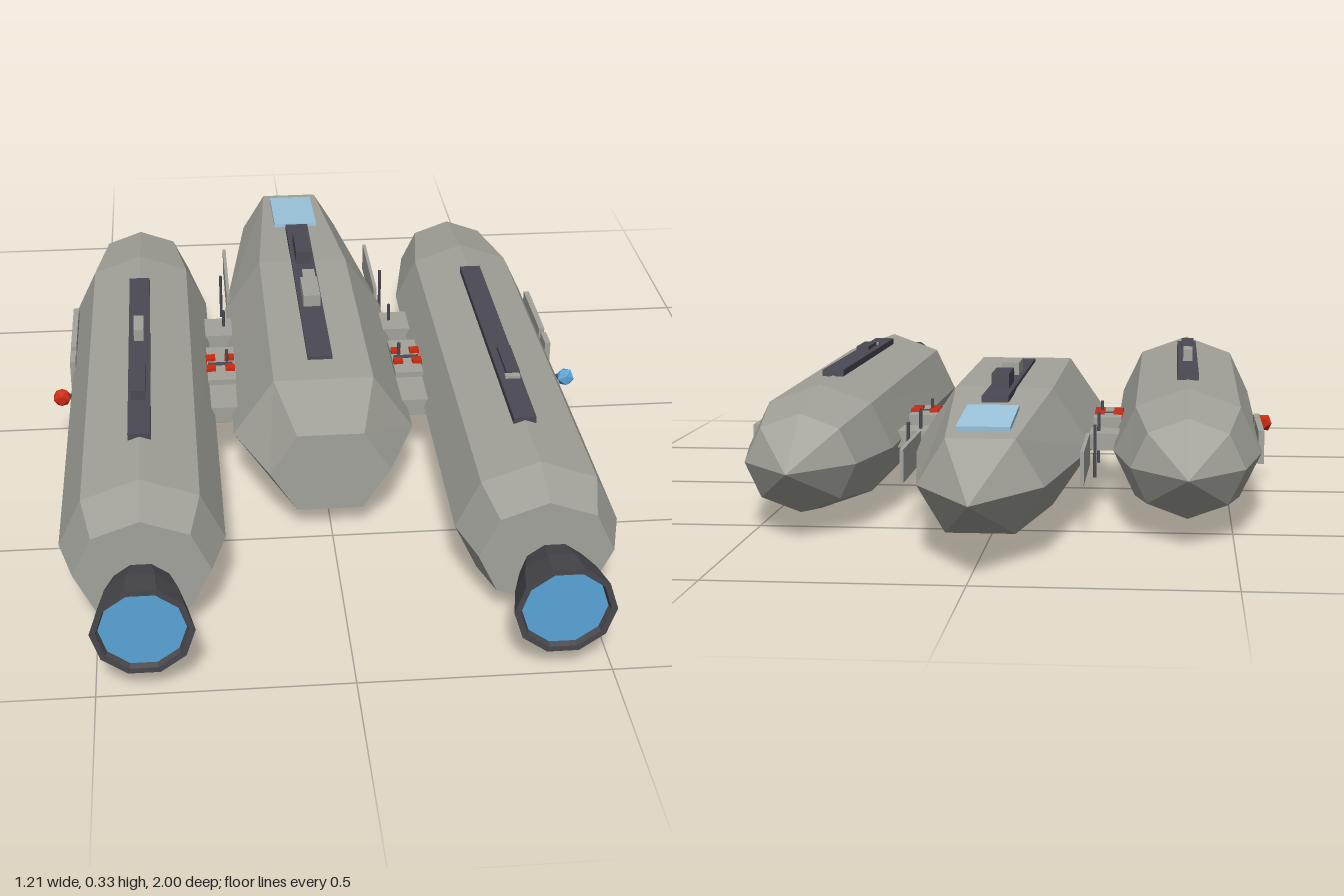
import * as THREE from 'three';

const mat = (name, color) => Object.assign(new THREE.MeshStandardMaterial({ color }), { name });
const MID = 0.15; // height of all hull axes

// Faceted hull: an outline swept through rings of [z, half width, half height], front to back
function hullGeometry(outline, rings) {
  const pos = [], n = outline.length;
  const at = ([z, rx, ry], i) => [outline[i % n][0] * rx, outline[i % n][1] * ry, z];
  for (let i = 0; i < n; i++) {
    pos.push(0, 0, rings[0][0], ...at(rings[0], i), ...at(rings[0], i + 1));
    for (let k = 0; k < rings.length - 1; k++) {
      const a = at(rings[k], i), b = at(rings[k + 1], i);
      const c = at(rings[k + 1], i + 1), d = at(rings[k], i + 1);
      pos.push(...a, ...b, ...d);
      if (rings[k + 1][1] > 0) pos.push(...b, ...c, ...d);
    }
  }
  const g = new THREE.BufferGeometry();
  g.setAttribute('position', new THREE.Float32BufferAttribute(pos, 3));
  g.computeVertexNormals();
  return g;
}

function flat(g) {
  const f = g.index ? g.toNonIndexed() : g;
  f.computeVertexNormals();
  return f;
}

export function createModel() {
  const hull = mat('hullGrey', 0xa3a39b);
  const dark = mat('darkTrim', 0x4b4a54);
  const nozzle = mat('nozzleGrey', 0x48484d);
  const blue = mat('engineBlue', 0x5aa4d8);
  const glass = mat('windowBlue', 0x9cc6de);
  const red = mat('signalRed', 0xcc2a10);

  const root = new THREE.Group();
  root.name = 'spacecraft';

  const add = (parent, name, geo, material, x = 0, y = 0, z = 0) => {
    const m = new THREE.Mesh(geo, material);
    m.name = name;
    m.position.set(x, y, z);
    parent.add(m);
    return m;
  };
  // Box given by its x, y and z ranges
  const box = (parent, name, material, [x0, x1], [y0, y1], [z0, z1]) =>
    add(parent, name, new THREE.BoxGeometry(Math.abs(x1 - x0), y1 - y0, z1 - z0), material,
      (x0 + x1) / 2, (y0 + y1) / 2, (z0 + z1) / 2);

  // Central hull: flat-topped hexagon
  const centre = new THREE.Group();
  centre.name = 'centralHull';
  centre.position.x = -0.003;
  root.add(centre);
  const hex = [[1, 0], [0.55, 1], [-0.55, 1], [-1, 0], [-0.55, -1], [0.55, -1]];
  add(centre, 'hullBody', hullGeometry(hex, [
    [0.475, 0.13, 0.093], [0.3, 0.2, 0.13], [-0.3, 0.195, 0.13], [-0.79, 0.125, 0.093], [-1, 0, 0],
  ]), hull, 0, MID);
  box(centre, 'deckStrip', dark, [-0.028, 0.028], [0.274, 0.288], [-0.5, 0.21]);
  box(centre, 'deckHousing', dark, [-0.018, 0.02], [0.285, 0.32], [-0.38, -0.265]);
  box(centre, 'deckDuct', hull, [-0.008, 0.022], [0.285, 0.298], [-0.215, -0.135]);
  box(centre, 'deckBlock', hull, [-0.018, 0.022], [0.285, 0.316], [-0.135, -0.035]);
  const pane = add(centre, 'cockpitWindow', new THREE.BoxGeometry(0.108, 0.009, 0.205), glass, 0, 0.262, -0.637);
  pane.rotation.x = -0.075;

  // Octagonal pods with engines, identical on both sides
  const oct = Array.from({ length: 8 }, (_, i) => [Math.cos(i * Math.PI / 4), Math.sin(i * Math.PI / 4)]);
  const podGeo = hullGeometry(oct, [
    [0.81, 0.137, 0.12], [0.7, 0.168, 0.147], [-0.34, 0.16, 0.138], [-0.56, 0.118, 0.104], [-0.705, 0, 0],
  ]);
  const nozzleGeo = flat(new THREE.LatheGeometry([
    [0, 0.87], [0.066, 0.87], [0.086, 0.93], [0.1, 1], [0.088, 1], [0.083, 0.985],
  ].map(([r, y]) => new THREE.Vector2(r, y)), 10, Math.PI / 2).rotateX(Math.PI / 2));
  const ballGeo = flat(new THREE.IcosahedronGeometry(0.022, 0));

  for (const s of [1, -1]) {
    const side = s > 0 ? 'left' : 'right';
    const pod = new THREE.Group();
    pod.name = side + 'Pod';
    pod.position.x = s * 0.402 - 0.003;
    root.add(pod);
    add(pod, 'podBody', podGeo, hull, 0, MID);
    add(pod, 'engineNozzle', nozzleGeo, nozzle, 0, MID);
    add(pod, 'engineGlow', new THREE.CircleGeometry(0.084, 10), blue, 0, MID, 0.988);
    box(pod, 'podStrip', dark, [-0.024, 0.024], [0.287, 0.302], [-0.19, 0.535]);

    // Deck equipment differs on each pod
    if (s > 0) {
      box(pod, 'podHousing', dark, [-0.008, 0.022], [0.3, 0.311], [0.235, 0.355]);
      box(pod, 'podVent', hull, [-0.012, 0.02], [0.3, 0.308], [0.355, 0.37]);
    } else {
      box(pod, 'podHousing', dark, [-0.017, 0.014], [0.3, 0.324], [0.27, 0.395]);
      box(pod, 'podBlock', hull, [-0.012, 0.01], [0.3, 0.33], [0.06, 0.13]);
    }

    // Outboard hatches and signal lamp
    for (const z of [[-0.27, -0.07], [-0.05, 0.005]])
      box(pod, 'sideHatch', hull, [s * 0.155, s * 0.168], [0.113, 0.186], z);
    box(pod, 'lampPost', dark, [s * 0.155, s * 0.175], [0.145, 0.155], [0.1, 0.11]);
    add(pod, 'signalLamp', ballGeo, s > 0 ? blue : red, s * 0.184, MID, 0.107);

    // Struts, docking clamp and lights between hull and pod
    const joint = new THREE.Group();
    joint.name = side + 'Coupling';
    joint.position.x = -0.003;
    root.add(joint);
    box(joint, 'strut', hull, [s * 0.17, s * 0.25], [0.13, 0.168], [-0.22, -0.13]);
    box(joint, 'strut', hull, [s * 0.17, s * 0.25], [0.13, 0.168], [0.11, 0.215]);
    box(joint, 'dockingClamp', hull, [s * 0.185, s * 0.25], [0.125, 0.18], [-0.05, 0.108]);
    for (const x of [0.197, 0.241])
      for (const z of [0.008, 0.058])
        box(joint, 'clampLight', red, [s * (x - 0.011), s * (x + 0.011)], [0.17, 0.188], [z - 0.01, z + 0.01]);
    box(joint, 'clampSpine', dark, [s * 0.19, s * 0.248], [0.17, 0.182], [0.027, 0.039]);

    // Inboard hull hatch and antenna rods
    box(joint, 'hullHatch', hull, [s * 0.182, s * 0.19], [0.115, 0.185], [-0.58, -0.32]);
    for (const z of [-0.37, -0.18, 0.02])
      add(joint, 'antennaRod', new THREE.CylinderGeometry(0.004, 0.004, 0.115, 6), dark, s * 0.203, 0.153, z);
  }
  return root;
}
